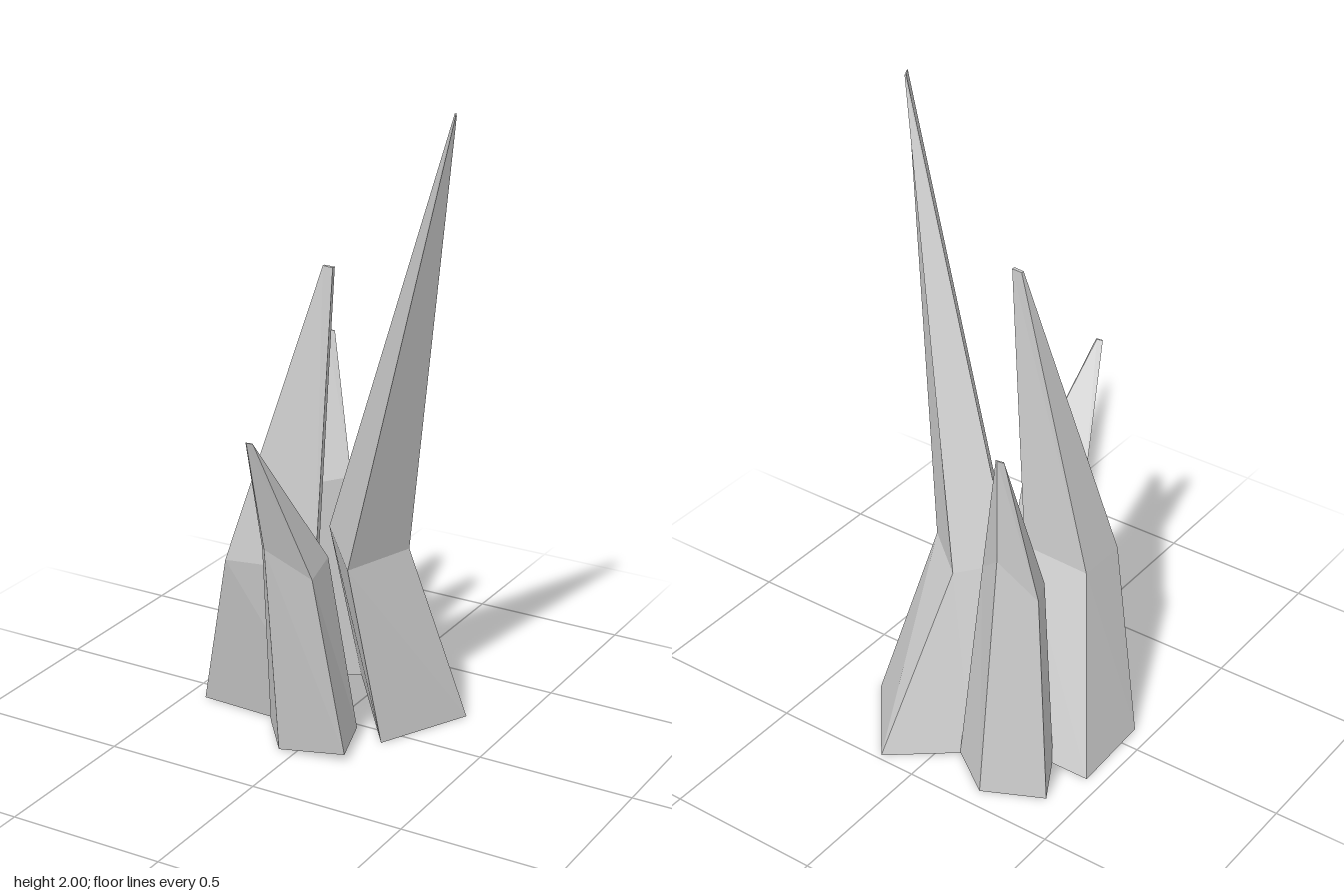
import * as THREE from 'three';

const material = new THREE.MeshStandardMaterial({ color: 0xcccccc, flatShading: true });

// Four-sided shard: base, waist and tip rings, each clockwise seen from above
function shard(name, rings) {
  const points = [];
  const put = (...corners) => corners.forEach((c) => points.push(...c));
  for (let r = 0; r < rings.length - 1; r++) {
    const low = rings[r], high = rings[r + 1];
    for (let i = 0; i < 4; i++) {
      const j = (i + 1) % 4;
      put(low[i], high[i], high[j], low[i], high[j], low[j]);
    }
  }
  const b = rings[0], t = rings[rings.length - 1];
  put(b[0], b[1], b[2], b[0], b[2], b[3]);
  put(t[2], t[1], t[0], t[3], t[2], t[0]);
  const geometry = new THREE.BufferGeometry();
  geometry.setAttribute('position', new THREE.Float32BufferAttribute(points, 3));
  geometry.computeVertexNormals();
  const mesh = new THREE.Mesh(geometry, material);
  mesh.name = name;
  return mesh;
}

export function createModel() {
  const group = new THREE.Group();
  group.name = 'crystalCluster';

  // Corners run back, right, front, left
  group.add(shard('tallShard', [
    [[0.13, 0, -0.485], [0.34, 0, -0.22], [0.195, 0, 0.07], [-0.09, 0, -0.31]],
    [[0.05, 0.57, -0.21], [0.2, 0.59, -0.09], [0.11, 0.58, 0.13], [-0.087, 0.6, -0.1]],
    [[0.43, 2, 0.095], [0.447, 2, 0.125], [0.447, 2, 0.132], [0.428, 2, 0.1]],
  ]));

  // Corners run back right, front right, front left, back left
  group.add(shard('wideShard', [
    [[-0.11, 0, -0.205], [0.03, 0, 0.1], [-0.44, 0, 0.08], [-0.45, 0, -0.205]],
    [[-0.05, 0.58, 0.025], [0.03, 0.58, 0.185], [-0.275, 0.56, 0.205], [-0.28, 0.57, 0.025]],
    [[0.036, 1.5, 0.078], [0.036, 1.5, 0.09], [0, 1.5, 0.085], [0, 1.5, 0.075]],
  ]));

  group.add(shard('backShard', [
    [[-0.215, 0, -0.44], [-0.06, 0, -0.33], [-0.31, 0, -0.185], [-0.4, 0, -0.35]],
    [[-0.21, 0.8, -0.34], [-0.11, 0.7, -0.275], [-0.275, 0.66, -0.19], [-0.32, 0.67, -0.285]],
    [[-0.212, 1.15, -0.34], [-0.205, 1.15, -0.337], [-0.23, 1.15, -0.332], [-0.235, 1.15, -0.337]],
  ]));

  group.add(shard('frontShard', [
    [[0.11, 0.03, 0.07], [0.16, 0.025, 0.235], [-0.05, 0.005, 0.27], [-0.165, 0.012, 0.13]],
    [[0.09, 0.65, 0.21], [0.1, 0.62, 0.32], [-0.03, 0.71, 0.375], [-0.105, 0.66, 0.265]],
    [[0, 1.08, 0.48], [0.005, 1.08, 0.484], [-0.015, 1.08, 0.487], [-0.02, 1.08, 0.483]],
  ]));

  return group;
}
